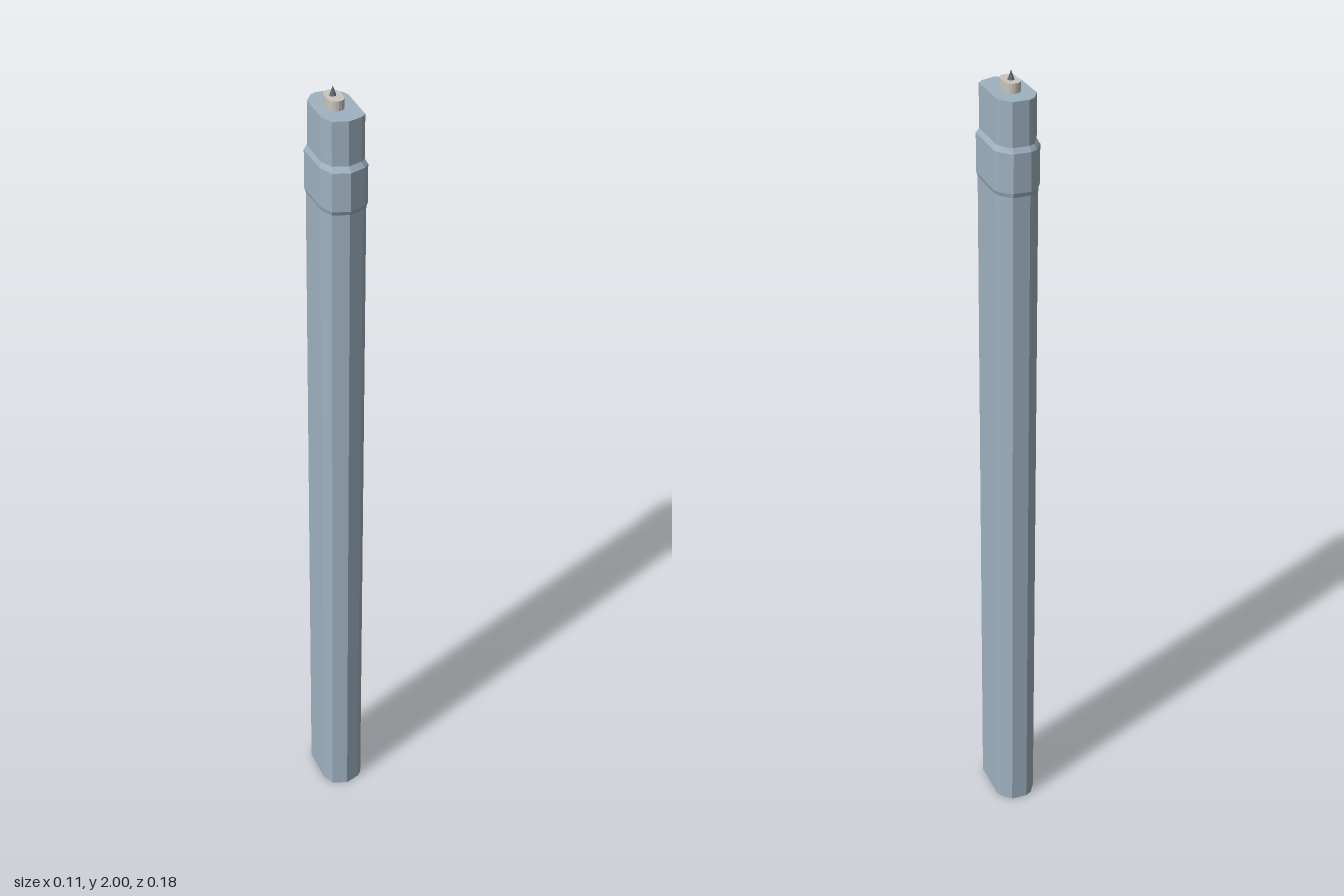
import * as THREE from 'three';

// Plan outlines (x, z): slim for the crown, wide for the collar
const slim = [
  [-0.017, -0.081], [0.022, -0.079], [0.041, -0.058], [0.046, -0.045], [0.045, 0.056], [0.033, 0.067],
  [0, 0.077], [-0.035, 0.066], [-0.048, 0.037], [-0.049, -0.047], [-0.031, -0.074],
];
const wide = [
  [-0.019, -0.088], [0.022, -0.086], [0.047, -0.062], [0.053, -0.046], [0.051, 0.061], [0.038, 0.074],
  [0.001, 0.088], [-0.038, 0.075], [-0.053, 0.041], [-0.055, -0.053], [-0.036, -0.08],
];

// Loft through [height, blend] rings, blend 0 = slim and 1 = wide
function loft(rings, capped) {
  const n = slim.length;
  const pos = [];
  const index = [];
  for (const [y, t] of rings) {
    for (let i = 0; i < n; i++) {
      pos.push(THREE.MathUtils.lerp(slim[i][0], wide[i][0], t), y, THREE.MathUtils.lerp(slim[i][1], wide[i][1], t));
    }
  }
  for (let r = 0; r < rings.length - 1; r++) {
    for (let i = 0; i < n; i++) {
      const a = r * n + i;
      const b = r * n + (i + 1) % n;
      index.push(a, a + n, b + n, a, b + n, b);
    }
  }
  if (capped) {
    const top = (rings.length - 1) * n;
    for (let i = 1; i < n - 1; i++) index.push(top, top + i + 1, top + i);
  }
  const geo = new THREE.BufferGeometry();
  geo.setAttribute('position', new THREE.Float32BufferAttribute(pos, 3));
  geo.setIndex(index);
  const flat = geo.toNonIndexed();
  flat.computeVertexNormals();
  return flat;
}

export function createModel() {
  const group = new THREE.Group();
  const facade = new THREE.MeshStandardMaterial({ name: 'facade blue grey', color: 0x9fb2c1, side: THREE.DoubleSide, flatShading: true });
  const stone = new THREE.MeshStandardMaterial({ name: 'pale stone', color: 0xcbc5bd, flatShading: true });
  const metal = new THREE.MeshStandardMaterial({ name: 'dark metal', color: 0x5d6b75, flatShading: true });

  const add = (name, geo, mat) => {
    const mesh = new THREE.Mesh(geo, mat);
    mesh.name = name;
    group.add(mesh);
    return mesh;
  };

  // Tall shaft, open underneath
  add('shaft', loft([[0, 0.55], [1.735, 0.55]], false), facade);
  // Collar with sloped ledges
  add('collar', loft([[1.735, 0.55], [1.745, 1], [1.838, 1], [1.85, 0]], false), facade);
  // Narrower crown with a flat roof
  add('crown', loft([[1.85, 0], [1.955, 0]], true), facade);

  // Rooftop plant room with rounded ends
  const r = 0.019;
  const half = 0.012;
  const plan = new THREE.Shape();
  plan.absarc(0, half, r, 0, Math.PI, false);
  plan.absarc(0, -half, r, Math.PI, Math.PI * 2, false);
  plan.closePath();
  const room = new THREE.ExtrudeGeometry(plan, { depth: 0.023, bevelEnabled: false, curveSegments: 4 });
  room.rotateX(-Math.PI / 2);
  add('rooftopRoom', room, stone).position.set(-0.003, 1.955, -0.006);

  // Spire
  const spire = add('spire', new THREE.ConeGeometry(0.008, 0.022, 8), metal);
  spire.position.set(-0.004, 1.989, -0.009);

  return group;
}
